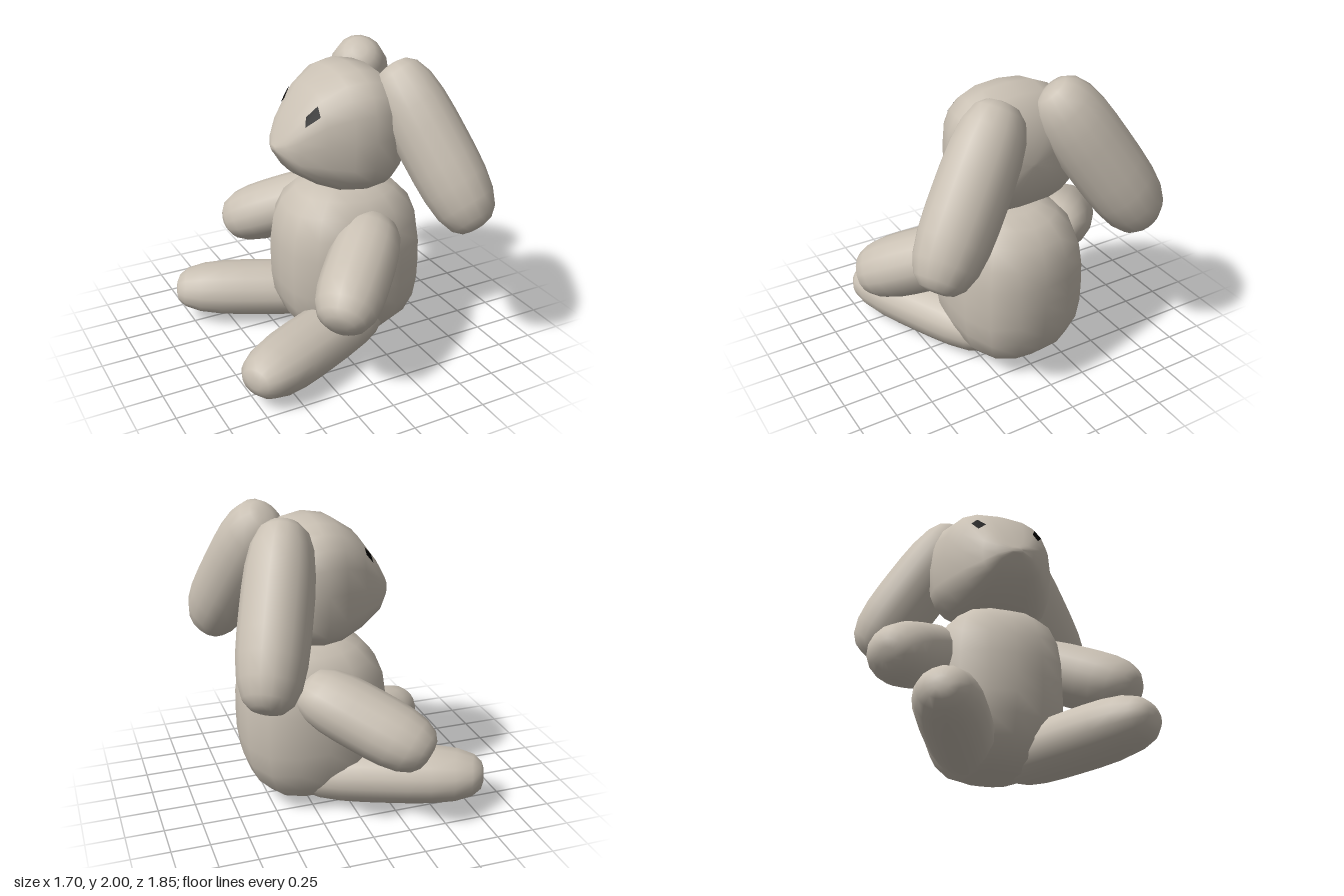
import * as THREE from 'three';
import { mergeVertices } from 'three/addons/utils/BufferGeometryUtils.js';

const plush = new THREE.MeshStandardMaterial({ color: 0xc9c0b3 });
plush.name = 'beige plush';
const black = new THREE.MeshStandardMaterial({ color: 0x000000, side: THREE.DoubleSide });
black.name = 'eye black';

// Stuffed shape: a blunt ellipsoid pointing along dir, sized to the box min..max.
// power sets how blunt the ends are, round how square the cross-section is (2 = circle)
function stuffed(name, min, max, dir, length, radius, power, round) {
  let geo = new THREE.SphereGeometry(1, 16, 14);
  const pos = geo.attributes.position;
  const v = new THREE.Vector3();
  for (let i = 0; i < pos.count; i++) {
    v.fromBufferAttribute(pos, i);
    const across = (Math.abs(v.x) ** round + Math.abs(v.z) ** round) ** (1 / round);
    v.multiplyScalar((across ** power + Math.abs(v.y) ** power) ** (-1 / power));
    pos.setXYZ(i, v.x * radius, v.y * length, v.z * radius);
  }
  const axis = new THREE.Vector3(...dir).normalize();
  geo.applyQuaternion(new THREE.Quaternion().setFromUnitVectors(new THREE.Vector3(0, 1, 0), axis));
  geo.computeBoundingBox();
  const size = geo.boundingBox.getSize(new THREE.Vector3());
  const mid = geo.boundingBox.getCenter(new THREE.Vector3());
  geo.translate(-mid.x, -mid.y, -mid.z);
  geo.scale(...['x', 'y', 'z'].map((k, i) => (max[i] - min[i]) / size[k]));
  geo.translate(...min.map((m, i) => (m + max[i]) / 2));
  geo.deleteAttribute('uv');
  geo.deleteAttribute('normal');
  geo = mergeVertices(geo, 1e-4);
  geo.computeVertexNormals();
  const mesh = new THREE.Mesh(geo, plush);
  mesh.name = name;
  return mesh;
}

// Head cross-sections from nose to back: x, top, bottom, half width
const headRings = [
  [-0.335, 1.46, 1.42, 0.04], [-0.3, 1.52, 1.37, 0.13], [-0.24, 1.63, 1.28, 0.21],
  [-0.1, 1.82, 1.19, 0.31], [0.05, 1.92, 1.13, 0.39], [0.18, 1.94, 1.12, 0.43],
  [0.32, 1.91, 1.14, 0.42], [0.42, 1.81, 1.21, 0.35], [0.48, 1.67, 1.35, 0.2],
  [0.49, 1.52, 1.5, 0.02],
];

// Point on the head at x and an angle measured from +z towards +y; the lower half is squarer
function headPoint(x, angle, grow = 1) {
  let i = 0;
  while (i < headRings.length - 2 && x > headRings[i + 1][0]) i++;
  const a = headRings[i], b = headRings[i + 1];
  const t = (x - a[0]) / (b[0] - a[0]);
  const [top, bottom, half] = [1, 2, 3].map((k) => a[k] + (b[k] - a[k]) * t);
  const power = Math.sin(angle) < 0 ? 0.66 : 0.78;
  const soft = (c) => Math.sign(c) * Math.abs(c) ** power;
  return [x, (top + bottom) / 2 + soft(Math.sin(angle)) * grow * (top - bottom) / 2,
    soft(Math.cos(angle)) * half * grow];
}

function geometryFrom(points, index) {
  const geo = new THREE.BufferGeometry();
  geo.setAttribute('position', new THREE.Float32BufferAttribute(points.flat(), 3));
  geo.setIndex(index);
  geo.computeVertexNormals();
  return geo;
}

function makeHead() {
  const sides = 20, points = [], index = [];
  for (const ring of headRings)
    for (let s = 0; s < sides; s++) points.push(headPoint(ring[0], (s / sides) * Math.PI * 2));
  for (let r = 0; r < headRings.length - 1; r++)
    for (let s = 0; s < sides; s++) {
      const a = r * sides + s, b = r * sides + (s + 1) % sides;
      index.push(a, a + sides, b, b, a + sides, b + sides);
    }
  // caps at the nose tip and the back
  const last = (headRings.length - 1) * sides;
  for (let s = 1; s < sides - 1; s++) {
    index.push(0, s, s + 1);
    index.push(last, last + s + 1, last + s);
  }
  // make every face point away from the middle of the head
  const centre = new THREE.Vector3(0.15, 1.52, 0);
  for (let i = 0; i < index.length; i += 3) {
    const [a, b, c] = [0, 1, 2].map((k) => new THREE.Vector3(...points[index[i + k]]));
    const normal = b.clone().sub(a).cross(c.sub(a));
    if (normal.dot(a.sub(centre)) < 0) [index[i + 1], index[i + 2]] = [index[i + 2], index[i + 1]];
  }
  const head = new THREE.Mesh(geometryFrom(points, index), plush);
  head.name = 'head';
  return head;
}

// Flat diamond eye lying just above the head surface; corners are x and angle
function makeEye(name, side, corners) {
  const points = corners.map(([x, angle]) => {
    const p = headPoint(x, angle, 1.03);
    return [p[0], p[1], p[2] * side];
  });
  const eye = new THREE.Mesh(geometryFrom(points, side > 0 ? [0, 1, 2, 0, 2, 3] : [0, 2, 1, 0, 3, 2]), black);
  eye.name = name;
  return eye;
}

export function createModel() {
  const model = new THREE.Group();
  model.name = 'plushRabbit';
  model.add(
    stuffed('body', [-0.305, 0.03, -0.435], [0.67, 1.16, 0.445], [0, 1, 0], 0.56, 0.45, 2.9, 2.8),
    makeHead(),
    makeEye('leftEye', 1, [[-0.205, 0.68], [-0.127, 0.62], [-0.122, 0.91], [-0.185, 0.94]]),
    makeEye('rightEye', -1, [[-0.175, 0.68], [-0.117, 0.7], [-0.117, 0.92], [-0.175, 1]]),
    // ears hang outwards and back
    stuffed('leftEar', [0.265, 0.935, 0.07], [0.85, 1.985, 0.9], [0.28, -0.78, 0.56], 0.6, 0.25, 3.2, 2.1),
    stuffed('rightEar', [0.235, 0.935, -0.86], [0.82, 2, -0.07], [0.28, -0.78, -0.54], 0.6, 0.25, 3.2, 2.1),
    // arms reach forwards and down
    stuffed('leftArm', [-0.38, 0.445, 0.17], [0.36, 1.035, 0.925], [-0.66, -0.42, 0.61], 0.48, 0.24, 3.2, 2.1),
    stuffed('rightArm', [-0.41, 0.455, -0.925], [0.39, 1.035, -0.19], [-0.7, -0.4, -0.57], 0.5, 0.24, 3.2, 2.1),
    // legs lie spread on the ground
    stuffed('leftLeg', [-0.83, 0.005, 0.02], [0.36, 0.395, 0.775], [-0.89, 0.03, 0.44], 0.61, 0.225, 3.2, 2.2),
    stuffed('rightLeg', [-0.855, 0.025, -0.735], [0.36, 0.42, 0], [-0.89, 0.03, -0.43], 0.62, 0.225, 3.2, 2.2),
  );
  return model;
}
